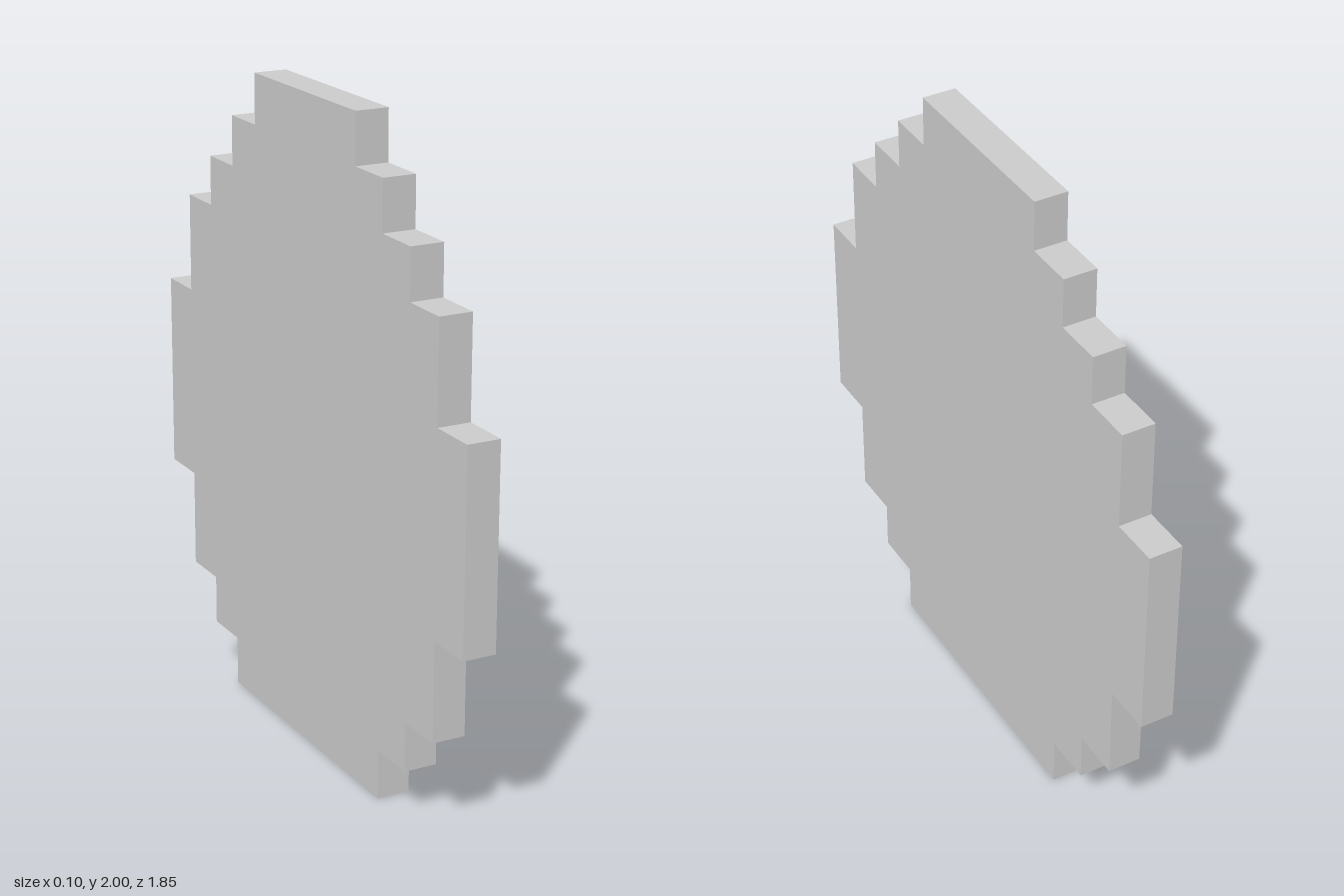
import * as THREE from 'three';

export function createModel() {
  const group = new THREE.Group();
  const unit = 2 / 13; // one step of the outline
  const thickness = 0.103;

  // Stacked rows from the bottom up: [top height, half width] in units
  const rows = [[1, 3], [2, 4], [4, 5], [8, 6], [10, 5], [11, 4], [12, 3], [13, 2]];

  // Stepped right edge, then mirrored for the left edge
  const edge = [];
  let bottom = 0;
  for (const [top, half] of rows) {
    edge.push([half, bottom], [half, top]);
    bottom = top;
  }
  const mirrored = edge.map(([x, y]) => [-x, y]).reverse();
  const outline = [...edge, ...mirrored].map(([x, y]) => new THREE.Vector2(x * unit, y * unit));

  // Thin slab, turned so that its broad faces look along x
  const geometry = new THREE.ExtrudeGeometry(new THREE.Shape(outline), {
    depth: thickness,
    bevelEnabled: false,
  });
  geometry.translate(0, 0, -thickness / 2);
  geometry.rotateY(Math.PI / 2);

  const disc = new THREE.Mesh(geometry, new THREE.MeshStandardMaterial({ color: 0xcccccc }));
  disc.name = 'steppedDisc';
  group.add(disc);
  return group;
}
